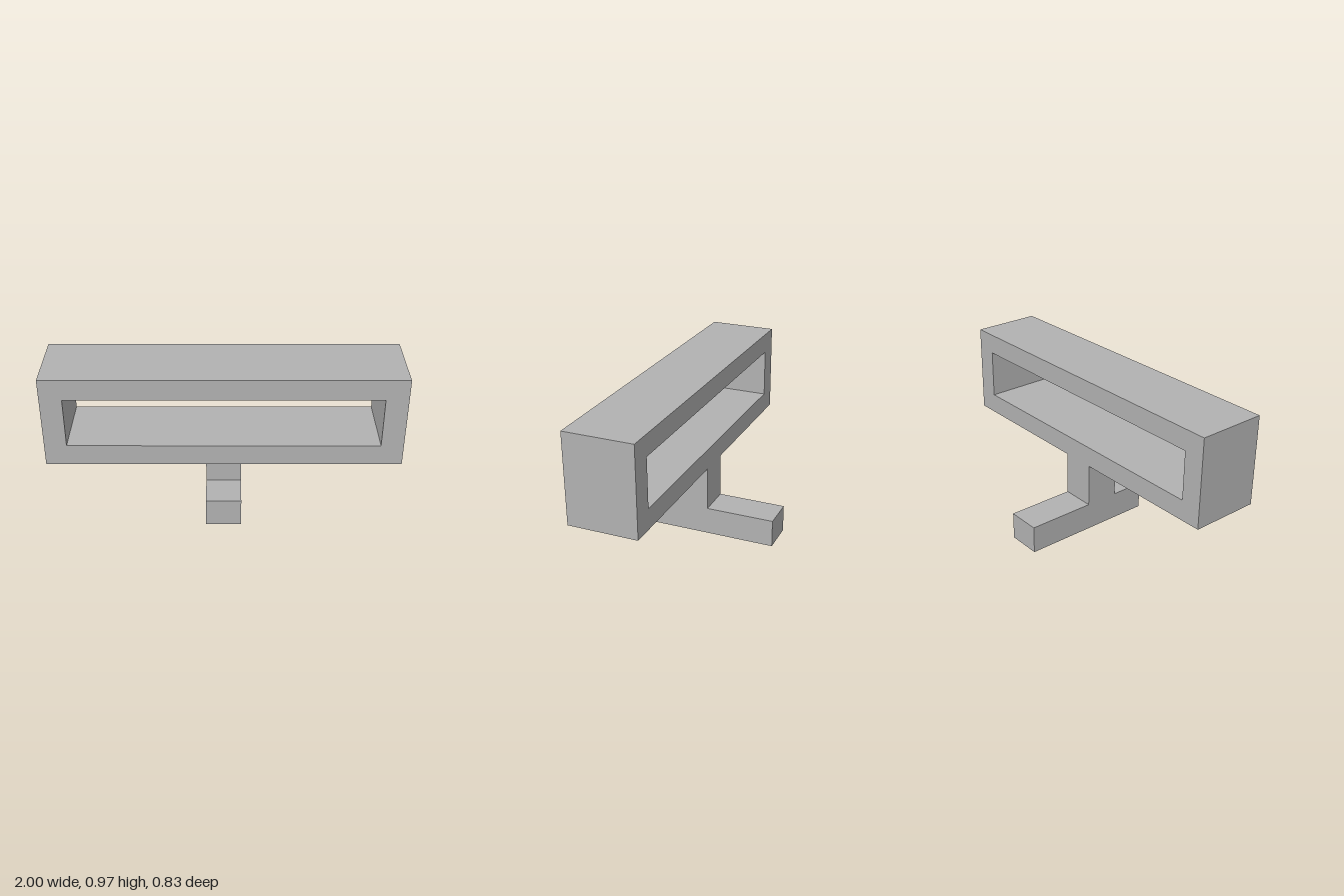
import * as THREE from 'three';

export function createModel() {
  const model = new THREE.Group();
  const grey = new THREE.MeshStandardMaterial({ color: 0xb2b2b2 });
  grey.name = 'grey';

  // Shape from a list of corner points
  const outline = (Type, corners) => new Type(corners.map(([a, b]) => new THREE.Vector2(a, b)));
  const rectangle = (x0, y0, x1, y1) => [[x0, y0], [x1, y0], [x1, y1], [x0, y1]];

  const addPart = (name, shape, depth) => {
    const geometry = new THREE.ExtrudeGeometry(shape, { depth, bevelEnabled: false });
    const mesh = new THREE.Mesh(geometry, grey);
    mesh.name = name;
    model.add(mesh);
    return mesh;
  };

  // Long rectangular frame, open from front to back
  const frameShape = outline(THREE.Shape, rectangle(-1, 0.432, 1, 0.973));
  frameShape.holes.push(outline(THREE.Path, rectangle(-0.875, 0.555, 0.873, 0.85)));
  addPart('frame', frameShape, 0.415);

  // Stand: foot and upright in one side profile (z, y), extruded across x
  const standShape = outline(THREE.Shape, [
    [-0.415, 0], [0.415, 0], [0.415, 0.168], [0.208, 0.168],
    [0.208, 0.432], [0, 0.432], [0, 0.168], [-0.415, 0.168],
  ]);
  const stand = addPart('stand', standShape, 0.205);
  stand.rotation.y = -Math.PI / 2;
  stand.position.x = 0.1;

  return model;
}
